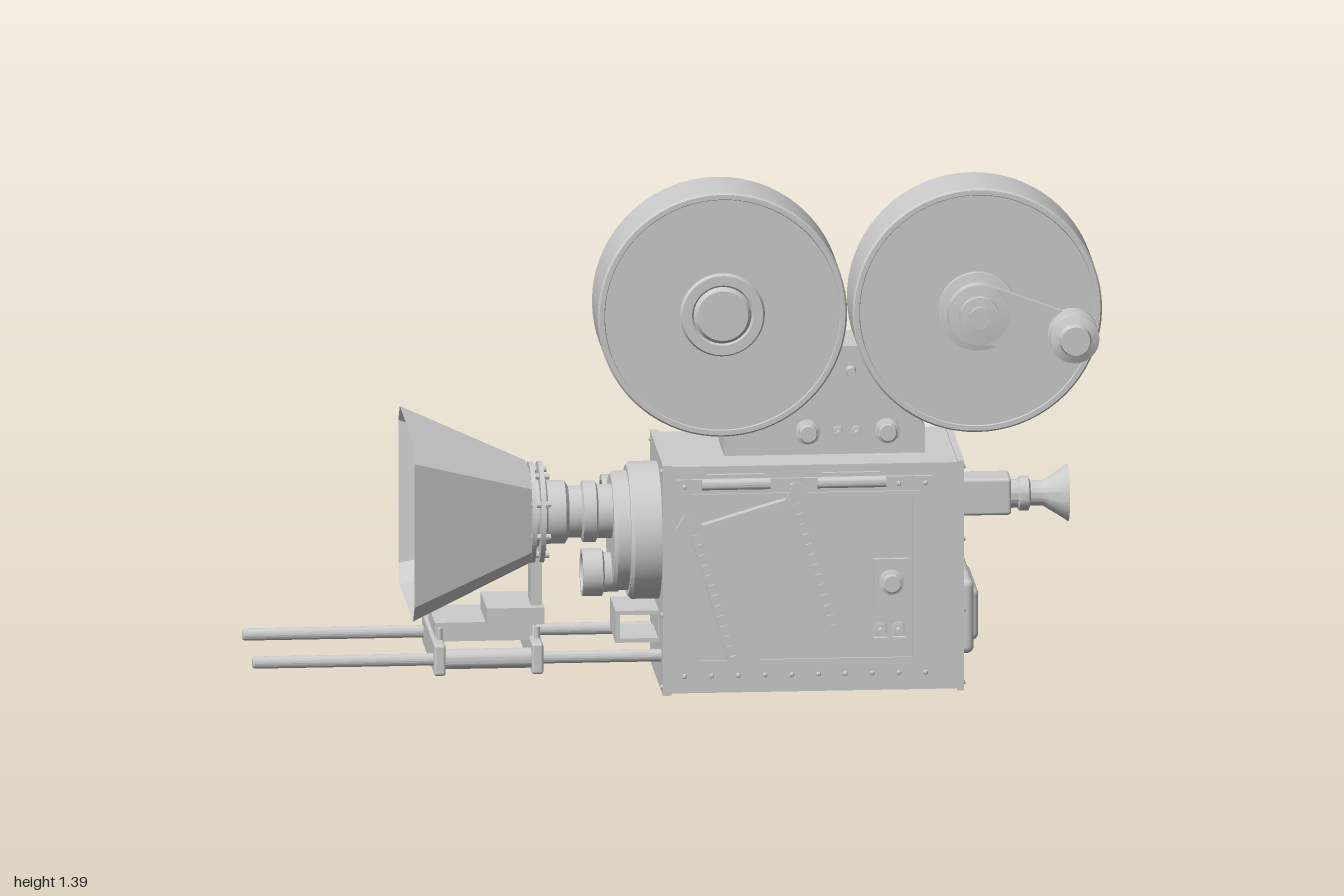
import * as THREE from 'three';
import { toCreasedNormals } from 'three/addons/utils/BufferGeometryUtils.js';
import { RoundedBoxGeometry } from 'three/addons/geometries/RoundedBoxGeometry.js';

const grey = new THREE.MeshStandardMaterial({ color: 0xcccccc });
const greyThin = new THREE.MeshStandardMaterial({ color: 0xcccccc, side: THREE.DoubleSide });
const UP = new THREE.Vector3(0, 1, 0);
const LEFT = [1, 0, 0], RIGHT = [-1, 0, 0], FRONT = [0, 0, 1], BACK = [0, 0, -1], TOP = [0, 1, 0];

// Camera space: +z is the lens direction, +x the door side
export function createModel() {
  const model = new THREE.Group();
  const cam = new THREE.Group();
  cam.name = 'movieCamera';
  cam.rotation.y = -Math.PI / 4;
  model.add(cam);

  const add = (name, geo, mat = grey) => {
    const m = new THREE.Mesh(geo, mat);
    m.name = name;
    cam.add(m);
    return m;
  };
  // Box given by its x, y and z ranges
  const box = (name, x0, x1, y0, y1, z0, z1, round = 0) => {
    const s = [x1 - x0, y1 - y0, z1 - z0];
    const m = add(name, round ? new RoundedBoxGeometry(...s, 3, round) : new THREE.BoxGeometry(...s));
    m.position.set((x0 + x1) / 2, (y0 + y1) / 2, (z0 + z1) / 2);
    return m;
  };
  // Turned part: [radius, distance along dir] pairs, closed on the axis
  const turned = (name, pos, dir, profile, seg = 40) => {
    const pts = [[0, profile[0][1]], ...profile, [0, profile.at(-1)[1]]].map(p => new THREE.Vector2(...p));
    const m = add(name, toCreasedNormals(new THREE.LatheGeometry(pts, seg), 0.6));
    m.quaternion.setFromUnitVectors(UP, new THREE.Vector3(...dir));
    m.position.set(...pos);
    return m;
  };
  // Flat side shape drawn in (-z, y), extruded along x
  const sidePlate = (name, shape, x0, x1) => {
    const m = add(name, new THREE.ExtrudeGeometry(shape, { depth: x1 - x0, bevelEnabled: false, curveSegments: 20 }));
    m.rotation.y = Math.PI / 2;
    m.position.x = x0;
    return m;
  };
  const rectPath = (Type, p0, p1, q0, q1) =>
    new Type([[p0, q0], [p1, q0], [p1, q1], [p0, q1]].map(p => new THREE.Vector2(...p)));
  const frame = (name, p0, p1, q0, q1, t, x0, x1) => {
    const s = rectPath(THREE.Shape, p0, p1, q0, q1);
    s.holes.push(rectPath(THREE.Path, p0 + t, p1 - t, q0 + t, q1 - t));
    return sidePlate(name, s, x0, x1);
  };
  // Tapered arm around two circles
  const arm = (name, z1, y1, r1, z2, y2, r2, x0, x1) => {
    const f = Math.atan2(y2 - y1, z1 - z2), b = Math.acos((r1 - r2) / Math.hypot(z1 - z2, y2 - y1));
    const s = new THREE.Shape();
    s.absarc(-z1, y1, r1, f + b, f - b + 2 * Math.PI, false);
    s.absarc(-z2, y2, r2, f - b, f + b, false);
    return sidePlate(name, s, x0, x1);
  };
  const knob = (name, pos, dir, r, h) => turned(name, pos, dir,
    [[r, 0], [r, h * 0.35], [r * 0.75, h * 0.45], [r * 0.75, h * 0.9], [r * 0.65, h]], 24);

  // Body with front and back end plates and rivets
  box('body', -0.195, 0.245, 0.005, 0.645, -0.745, 0.07);
  box('frontPlate', -0.2, 0.25, 0, 0.65, 0.055, 0.08);
  box('backPlate', -0.2, 0.25, 0, 0.65, -0.753, -0.735);
  for (const x of [-0.18, 0.23]) for (const y of [0.02, 0.225, 0.425, 0.63]) {
    turned('frontRivet', [x, y, 0.08], FRONT, [[0.008, 0], [0.005, 0.005]], 8);
    turned('backRivet', [x, y, -0.753], BACK, [[0.008, 0], [0.005, 0.005]], 8);
  }

  // Side doors, each with a raised frame and a rivet line
  for (const s of [1, -1]) {
    const x = s > 0 ? 0.245 : -0.195, out = s > 0 ? LEFT : RIGHT;
    const span = (a, b) => s > 0 ? [x + a, x + b] : [x - b, x - a];
    sidePlate('door', rectPath(THREE.Shape, -0.04, 0.67, 0.04, 0.61), ...span(0, 0.01));
    frame('doorFrame', 0, 0.63, 0.08, 0.57, 0.02, ...span(0.01, 0.016));
    for (let i = 0; i < 10; i++) for (const y of [0.055, 0.59])
      turned('doorRivet', [x + s * 0.01, y, 0.02 - i * 0.074], out, [[0.007, 0], [0.004, 0.005]], 8);
  }

  // Door hinges
  for (const z of [-0.12, -0.44]) {
    box('hingeLeaf', 0.25, 0.262, 0.575, 0.625, z - 0.08, z + 0.08);
    turned('hingeBarrel', [0.27, 0.6, z - 0.095], FRONT, [[0.016, 0], [0.016, 0.19]], 16);
  }

  // Tilted film plate with notched edges and corner tabs
  const plate = new THREE.Group();
  plate.name = 'tiltedPlate';
  plate.position.set(0.27, 0.325, -0.2);
  plate.rotation.x = 0.29;
  cam.add(plate);
  const onPlate = (name, w, h, d, x, y, z) => {
    const m = box(name, -w / 2, w / 2, -h / 2, h / 2, -d / 2, d / 2);
    m.position.set(x, y, z);
    plate.add(m);
    return m;
  };
  onPlate('platePanel', 0.03, 0.41, 0.32, 0, 0, 0);
  for (const s of [-1, 1]) {
    for (let i = 0; i < 13; i++) onPlate('plateNotch', 0.008, 0.014, 0.018, 0.017, -0.18 + i * 0.03, s * 0.145);
    onPlate('plateTab', 0.012, 0.09, 0.045, 0.012, 0.2, s * 0.145).rotation.x = s * 0.75;
  }

  // Switch panels and toggles on both sides
  box('switchPanel', 0.25, 0.27, 0.25, 0.38, -0.6, -0.5);
  knob('switchKnob', [0.27, 0.315, -0.55], LEFT, 0.035, 0.03);
  for (const z of [-0.52, -0.57]) {
    turned('toggle', [0.25, 0.18, z], LEFT, [[0.02, 0], [0.02, 0.012], [0.007, 0.014], [0.01, 0.055]], 12);
    box('toggleGuard', 0.25, 0.272, 0.15, 0.158, z - 0.02, z + 0.02);
  }
  box('sideSwitchPanel', -0.22, -0.2, 0.14, 0.24, -0.6, -0.51);
  knob('sideSwitchKnob', [-0.22, 0.19, -0.555], RIGHT, 0.03, 0.025);
  knob('speedDial', [-0.2, 0.19, -0.14], RIGHT, 0.065, 0.05);

  // Battery cover on the back
  box('backCoverFrame', -0.18, 0.2, 0.09, 0.3, -0.785, -0.74, 0.02);
  box('backCover', -0.15, 0.17, 0.12, 0.27, -0.8, -0.74, 0.02);

  // Magazine throat
  const throat = new THREE.Shape([[0.1, 0.645], [0.655, 0.645], [0.655, 0.72], [0.5, 0.95], [0.4, 0.95], [0.1, 0.72]]
    .map(p => new THREE.Vector2(...p)));
  sidePlate('magazineThroat', throat, -0.075, 0.118);
  for (const [x, dir] of [[0.118, LEFT], [-0.075, RIGHT]]) {
    for (const z of [-0.33, -0.55]) knob('throatKnob', [x, 0.71, z], dir, 0.034, 0.04);
    for (const z of [-0.415, -0.465])
      turned('throatToggle', [x, 0.71, z], dir, [[0.015, 0], [0.015, 0.01], [0.006, 0.012], [0.009, 0.05]], 12);
    turned('throatButton', [x, 0.88, -0.45], dir, [[0.015, 0], [0.012, 0.02]], 12);
  }

  // Film magazines
  const Y = 1.045, zF = -0.095, zR = -0.8;
  for (const z of [zF, zR]) turned('magazine', [-0.084, Y, z], LEFT,
    [[0.325, 0.004], [0.327, 0], [0.34, 0], [0.345, 0.006], [0.345, 0.203], [0.34, 0.209], [0.327, 0.209], [0.325, 0.205]], 72);
  turned('frontMagazineCap', [0.12, Y, zF], LEFT, [[0.118, 0], [0.112, 0.012], [0.085, 0.012], [0.08, 0.006], [0.07, 0.018]], 48);
  turned('frontMagazineHub', [-0.08, Y, zF], RIGHT,
    [[0.165, 0], [0.16, 0.015], [0.125, 0.018], [0.12, 0.035], [0.08, 0.038], [0.075, 0.06], [0.04, 0.062], [0.04, 0.07]], 48);

  // Rear magazine drive: hub, belt arm and pulley on each side
  const pulley = [[0.045, 0], [0.07, 0.005], [0.07, 0.03], [0.05, 0.04], [0.05, 0.055], [0.068, 0.065], [0.068, 0.09], [0.045, 0.1], [0.04, 0.12]];
  const hub = [[0.11, 0], [0.11, 0.02], [0.085, 0.025], [0.085, 0.065], [0.055, 0.068], [0.055, 0.09], [0.03, 0.092], [0.03, 0.105]];
  turned('leftDriveHub', [0.12, Y, zR], LEFT, hub);
  arm('leftBeltArm', zR, Y, 0.085, -1.06, 0.985, 0.05, 0.15, 0.175);
  turned('leftPulley', [0.15, 0.985, -1.06], LEFT, pulley);
  turned('rightDriveHub', [-0.08, Y, zR], RIGHT, hub);
  arm('rightBeltArm', zR, Y, 0.085, -0.64, 0.83, 0.05, -0.13, -0.105);
  turned('rightPulley', [-0.09, 0.83, -0.64], RIGHT, pulley);

  // Lens turret and lenses
  turned('lensTurret', [0.05, 0.425, 0.075], FRONT, [[0.19, 0], [0.19, 0.08], [0.18, 0.09], [0.165, 0.09], [0.165, 0.125], [0.155, 0.135]], 56);
  turned('mainLens', [0.08, 0.487, 0.2], FRONT,
    [[0.075, 0], [0.075, 0.05], [0.085, 0.055], [0.085, 0.09], [0.072, 0.095], [0.072, 0.13], [0.088, 0.14], [0.088, 0.19], [0.095, 0.195], [0.095, 0.24], [0.08, 0.24], [0.06, 0.2]]);
  turned('lowerLens', [0.06, 0.31, 0.19], FRONT, [[0.055, 0], [0.055, 0.04], [0.066, 0.045], [0.066, 0.1], [0.052, 0.1], [0.04, 0.08]], 32);
  turned('sideLens', [-0.07, 0.43, 0.19], FRONT, [[0.045, 0], [0.045, 0.03], [0.052, 0.035], [0.052, 0.08], [0.042, 0.08], [0.03, 0.065]], 32);

  // Matte box: flared hood with chamfered corners, and its mounting rings
  const section = (cx, cy, hw, hh, c, z) => [[hw, hh - c], [hw - c, hh], [c - hw, hh], [-hw, hh - c], [-hw, c - hh], [c - hw, -hh], [hw - c, -hh], [hw, c - hh]]
    .flatMap(([x, y]) => [cx + x, cy + y, z]);
  const hoodIndex = [];
  for (let i = 0; i < 8; i++) {
    const j = (i + 1) % 8;
    hoodIndex.push(i, i + 8, j, j, i + 8, j + 8);
  }
  let hood = new THREE.BufferGeometry();
  hood.setAttribute('position', new THREE.Float32BufferAttribute(
    [...section(0.082, 0.49, 0.12, 0.125, 0.035, 0.44), ...section(0.071, 0.487, 0.277, 0.253, 0.05, 0.775)], 3));
  hood.setIndex(hoodIndex);
  hood = hood.toNonIndexed();
  hood.computeVertexNormals();
  add('matteBoxHood', hood, greyThin);
  for (const [z, r] of [[0.4, 0.14], [0.425, 0.14]]) {
    const ring = new THREE.Shape().absarc(0, 0, r, 0, Math.PI * 2);
    ring.holes.push(new THREE.Path().absarc(0, 0, 0.085, 0, Math.PI * 2));
    add('matteBoxRing', new THREE.ExtrudeGeometry(ring, { depth: 0.013, bevelEnabled: false, curveSegments: 32 }))
      .position.set(0.082, 0.488, z);
  }
  for (let i = 0; i < 8; i++) {
    const a = (i + 0.5) * Math.PI / 4;
    turned('ringBolt', [0.082 + 0.12 * Math.cos(a), 0.488 + 0.12 * Math.sin(a), 0.385], FRONT, [[0.009, 0], [0.009, 0.055]], 8);
  }

  // Support rods, carriage and pedestal
  for (const x of [-0.163, 0.184]) {
    turned('supportRod', [x, 0.1, 0.07], FRONT, [[0.017, 0], [0.017, 1.135], [0.013, 1.14]], 20);
    turned('rodSleeve', [x, 0.1, 0.43], FRONT, [[0.028, 0], [0.028, 0.27]], 20);
  }
  for (const z of [0.42, 0.69]) {
    box('crossBar', -0.2, 0.222, 0.06, 0.148, z - 0.012, z + 0.02, 0.008);
    for (const x of [-0.13, 0.15]) turned('clampScrew', [x, 0.145, z], TOP, [[0.008, 0], [0.008, 0.035]], 10);
  }
  box('carriagePlate', -0.1, 0.12, 0.135, 0.188, 0.43, 0.7);
  box('pedestal', -0.05, 0.16, 0.188, 0.235, 0.4, 0.56);
  box('hoodPost', 0.03, 0.13, 0.23, 0.38, 0.405, 0.435);
  frame('rodBracket', -0.2, -0.07, 0.12, 0.21, 0.012, -0.07, 0.11);

  // Viewfinder along the right side
  const fx = -0.25, fy = 0.44;
  box('finderBody', -0.3, -0.195, fy - 0.05, fy + 0.055, -0.92, -0.02, 0.01);
  box('finderRail', -0.31, -0.2, fy + 0.03, fy + 0.065, -0.7, -0.06);
  turned('finderLens', [fx - 0.015, fy, -0.03], FRONT,
    [[0.04, 0], [0.04, 0.05], [0.055, 0.055], [0.055, 0.09], [0.045, 0.095], [0.045, 0.12], [0.07, 0.125], [0.07, 0.24], [0.055, 0.24], [0.045, 0.2]]);
  turned('eyepiece', [fx, fy, -0.91], BACK,
    [[0.04, 0], [0.04, 0.03], [0.048, 0.035], [0.048, 0.06], [0.035, 0.065], [0.035, 0.1], [0.048, 0.12], [0.06, 0.14], [0.08, 0.17], [0.074, 0.17], [0.03, 0.11]]);
  for (const [z, r] of [[-0.57, 0.052], [-0.32, 0.045], [-0.17, 0.052]]) knob('finderKnob', [-0.298, fy, z], RIGHT, r, 0.06);
  knob('finderTopDial', [fx, fy + 0.055, -0.567], TOP, 0.034, 0.04);
  for (const z of [-0.1, -0.66]) box('finderBracket', -0.235, -0.19, fy - 0.09, fy + 0.09, z - 0.025, z + 0.025);

  return model;
}
